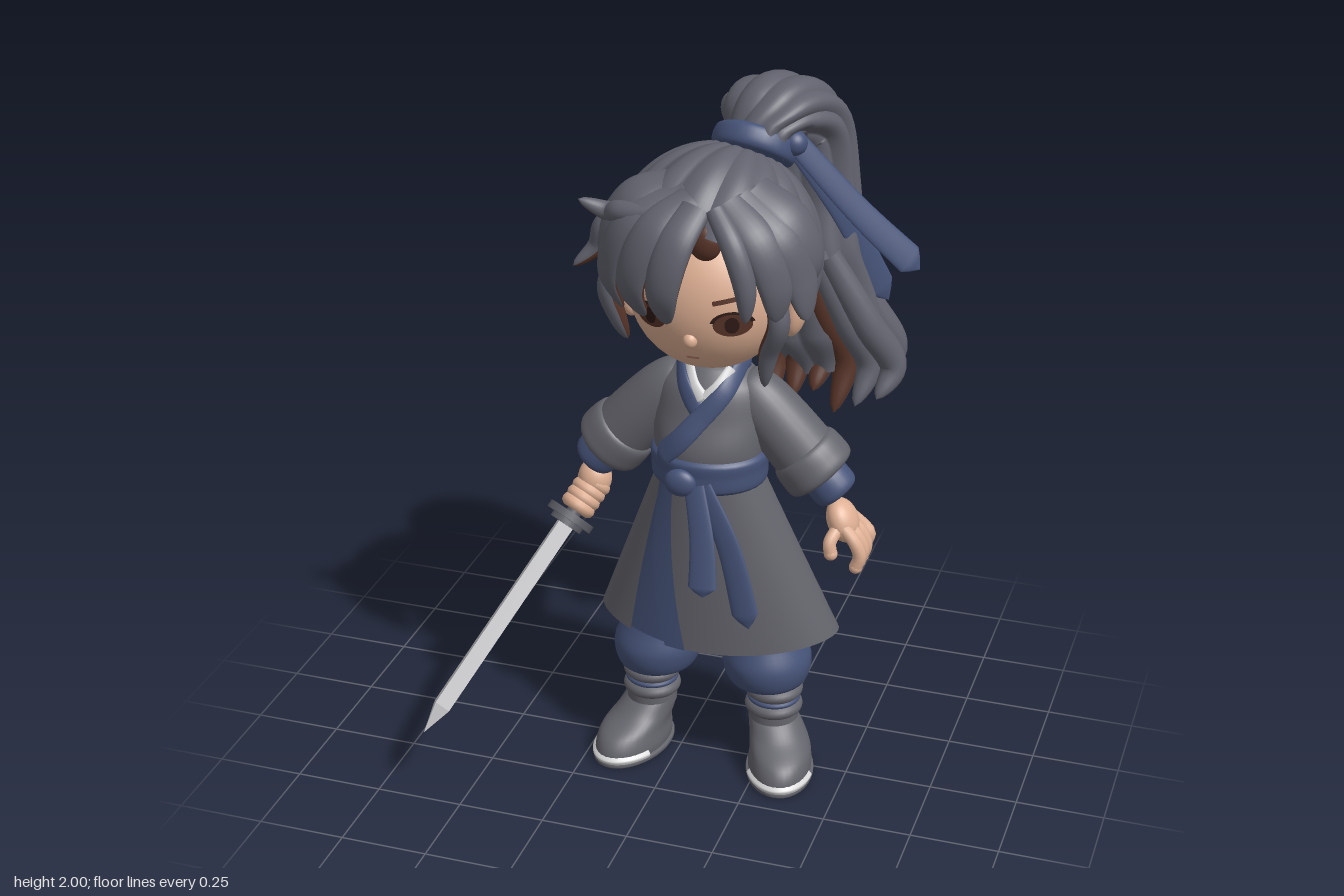
import * as THREE from 'three';
import { ParametricGeometry } from 'three/addons/geometries/ParametricGeometry.js';

const V = (x, y, z) => new THREE.Vector3(x, y, z);
const mix = THREE.MathUtils.lerp;
const paint = (name, color) => Object.assign(new THREE.MeshStandardMaterial({ color }), { name });
const MID = 0.09; // x of the body's middle plane

export function createModel() {
  const root = new THREE.Group();
  root.name = 'swordsman';
  const hair = paint('hair grey', 0x61626d), under = paint('hair underside brown', 0x573428);
  const skin = paint('skin', 0xdfb094), robe = paint('robe grey', 0x64646c), blue = paint('sash blue', 0x465378);
  const white = paint('white trim', 0xd6d6d6), steel = paint('light steel', 0xc6c6c9);
  const dark = paint('dark steel', 0x5a5b63), pupil = paint('dark brown', 0x2f1b17), lip = paint('lip', 0xb87e68);
  for (const open of [hair, robe, blue]) open.side = THREE.DoubleSide;

  const add = (name, geo, mat, parent = root) => {
    const m = new THREE.Mesh(geo, mat);
    m.name = name;
    parent.add(m);
    return m;
  };
  const ball = (name, p, s, mat, parent) => {
    const m = add(name, new THREE.SphereGeometry(1, 32, 20), mat, parent);
    m.position.set(...p);
    m.scale.set(...s);
    return m;
  };

  // Stack of elliptical rings [y, cx, cz, rx, rz], over an arc of turns
  function loft(name, rings, mat, parent = root, from = 0, to = 1) {
    const c = new THREE.CatmullRomCurve3(rings.map(r => V(r[1], r[0], r[2])));
    const r = new THREE.CatmullRomCurve3(rings.map(q => V(q[3], q[4], q[0])));
    add(name, new ParametricGeometry((u, v, o) => {
      const a = mix(from, to, u) * Math.PI * 2, p = c.getPoint(v), q = r.getPoint(v);
      o.set(p.x + q.x * Math.cos(a), p.y, p.z - q.y * Math.sin(a));
    }, 36, rings.length * 5), mat, parent);
  }

  // Turned part: profile of [radius, fraction] along the line from a to b
  function turned(name, profile, a, b, mat) {
    const dir = b.clone().sub(a), len = dir.length();
    const pts = new THREE.SplineCurve(profile.map(([r, t]) => new THREE.Vector2(r, t * len))).getPoints(profile.length * 5);
    pts.forEach(p => { p.x = Math.max(p.x, 0); });
    const m = add(name, new THREE.LatheGeometry(pts, 28), mat);
    m.position.copy(a);
    m.quaternion.setFromUnitVectors(V(0, 1, 0), dir.normalize());
  }

  // Flattened strand along a path: outer half in mats[0], inner half in mats[1]
  const lockTaper = v => Math.pow(Math.max(0, 1 - v), 0.6) * (0.7 + 1.2 * v);
  const bandTaper = v => (0.7 + 0.3 * v) * Math.min(1, (1 - v) / 0.08);
  const fromHead = p => p.clone().sub(V(MID, 1.5, -0.05));
  const backward = p => V(0, p.y - 1.5, p.z);
  const fromChest = p => V(p.x - MID, 0.03, p.z + 0.02);
  const forward = () => V(0, 0, 1);
  const diagonal = () => V(0.6, 0.35, 0.7);
  function strand(name, pts, w, t, out, mats, taper = lockTaper, ridge = 0) {
    const curve = new THREE.CatmullRomCurve3(pts.map(p => V(...p)));
    mats.forEach((mat, half) => add(name + (half ? 'Inner' : 'Outer'), new ParametricGeometry((u, v, o) => {
      const a = (u + half) * Math.PI, T = curve.getTangent(v), N = out(curve.getPoint(v, o));
      N.addScaledVector(T, -N.dot(T)).normalize();
      const B = N.clone().cross(T), k = taper(v) * (1 + ridge * (Math.abs(Math.sin(5 * a)) - 0.6));
      o.addScaledVector(B, w * k * Math.cos(a)).addScaledVector(N, t * k * Math.sin(a));
    }, ridge ? 50 : 10, ridge ? 48 : 22), mat));
  }
  const band = (name, pts, w, out, mat = blue) => strand(name, pts, w, 0.011, out, [mat, mat], bandTaper);

  // Head and face
  const HC = V(0.08, 1.47, 0), HR = V(0.225, 0.225, 0.195);
  ball('head', HC, HR, skin);
  ball('nape', [MID, 1.51, -0.06], [0.25, 0.2, 0.185], under);
  ball('partingShade', [0.125, 1.675, 0.195], [0.045, 0.05, 0.03], under);
  ball('nose', [HC.x, 1.385, 0.178], [0.02, 0.022, 0.02], skin);
  add('neck', new THREE.CylinderGeometry(0.055, 0.055, 0.16, 24), skin).position.set(MID, 1.25, -0.01);
  function onFace(name, geo, x, y, lift, mat) {
    geo.translate(x, y, 0);
    const p = geo.attributes.position;
    for (let i = 0; i < p.count; i++) {
      const dx = (p.getX(i) - HC.x) / HR.x, dy = (p.getY(i) - HC.y) / HR.y;
      p.setZ(i, HR.z * Math.sqrt(Math.max(0, 1 - dx * dx - dy * dy)) + lift);
    }
    geo.computeVertexNormals();
    add(name, geo, mat);
  }
  for (const s of [-1, 1]) {
    const x = HC.x + s * 0.113, y = 1.44;
    onFace('eye', new THREE.CircleGeometry(1, 28).scale(0.048, 0.034, 1), x, y, 0.004, under);
    onFace('pupil', new THREE.CircleGeometry(1, 24).scale(0.018, 0.024, 1), x, y, 0.006, pupil);
    onFace('lash', new THREE.RingGeometry(0.86, 1.06, 20, 1, 0.2, Math.PI - 0.4).scale(0.052, 0.038, 1), x, y, 0.007, pupil);
    onFace('eyebrow', new THREE.PlaneGeometry(0.1, 0.013, 8, 1).rotateZ(s * 0.2), x, 1.512, 0.005, under);
    ball('ear', [HC.x + s * 0.238, 1.425, -0.01], [0.03, 0.075, 0.045], skin).rotation.z = -s * 0.2;
  }
  onFace('mouth', new THREE.PlaneGeometry(0.035, 0.008, 6, 1), HC.x, 1.325, 0.004, lip);

  // Combed hair cap, lobes running from the tie to the hairline, clear of the face and left ear
  const capC = V(MID, 1.56, -0.02), capR = V(0.285, 0.3, 0.28);
  const axis = V(0.2, 0.88, -0.42).normalize(), e1 = V(0, 0, 1);
  e1.addScaledVector(axis, -e1.dot(axis)).normalize();
  const e2 = e1.clone().cross(axis);
  add('hairCap', new ParametricGeometry((u, v, o) => {
    const a = u * Math.PI * 2;
    const phi = v * (2 - 0.5 * Math.max(0, Math.cos(a)) ** 2 - 0.36 * Math.max(0, -Math.sin(a)) ** 2);
    const r = 1 + 0.045 * (Math.abs(Math.sin(8 * a)) - 0.6) * Math.sin(phi);
    o.copy(axis).multiplyScalar(Math.cos(phi)).addScaledVector(e1, Math.sin(phi) * Math.cos(a))
      .addScaledVector(e2, Math.sin(phi) * Math.sin(a)).multiplyScalar(r).multiply(capR).add(capC);
  }, 128, 28), hair);

  // Fringe locks: swept sideways, then down, over a shell just outside the cap
  function lock(from, to, w) {
    const path = [0, 1, 2, 3].map(i => {
      const t = i / 3, sweep = Math.sin(t * Math.PI / 2);
      const p = V(mix(from[0], to[0], sweep), mix(from[1], to[1], t), mix(from[2], to[2], t));
      const shell = p.clone().sub(capC).divide(capR).setLength(1.11).multiply(capR).add(capC);
      return p.lerp(shell, Math.sin(t * Math.PI)).toArray();
    });
    strand('fringeLock', path, w, 0.032, fromHead, [hair, under]);
  }
  for (const s of [-1, 1]) {
    [0.1, 0.18, 0.26, 0.25].forEach((reach, i) => lock(
      [0.125 + s * (0.025 + 0.025 * i), 1.765 + 0.01 * i, 0.19 - 0.035 * i],
      [0.135 + s * (reach + (s > 0 ? 0.015 - 0.012 * i : 0)), 1.465 + 0.015 * s + (i > 2 ? 0.04 : -0.01 * i), 0.24 - 0.055 * i],
      s > 0 && !i ? 0.038 : 0.06 + 0.004 * i));
    lock([0.075 + s * 0.2, 1.6, 0.13], [0.075 + s * 0.192, 1.29 - s * 0.045, 0.11], 0.036);
  }
  lock([-0.1, 1.72, 0.1], [-0.26, 1.54, 0.14], 0.04);
  lock([-0.02, 1.73, 0.19], [-0.235, 1.74, 0.16], 0.035);

  // Ponytail with loose ends, tie and ribbons
  strand('ponytail', [[0.15, 1.8, -0.14], [0.17, 1.895, -0.22], [0.2, 1.85, -0.325], [0.225, 1.65, -0.355],
    [0.25, 1.45, -0.33], [0.3, 1.27, -0.345], [0.33, 1.13, -0.35]], 0.19, 0.125, backward, [hair, hair],
  v => (0.55 + 0.34 * Math.sin(Math.min(1, v * 2.6) * Math.PI / 2)) * (1 - 0.35 * THREE.MathUtils.smoothstep(v, 0.85, 1)), 0.1);
  for (const row of [0, 1]) {
    for (let i = 0; i < 6; i++) {
      const f = (i + row * 0.4) / 5.4, z = row * 0.13;
      strand('ponytailEnd', [[0.14 + 0.2 * f, 1.5, z - 0.37], [0.15 + 0.3 * f, 1.3, z - 0.4], [0.15 + 0.37 * f, 1.16, z - 0.44],
        [0.16 + 0.33 * f, 1.02 + (i % 3) * 0.03, z * 1.4 - 0.43]], 0.05, 0.045, backward, [hair, row && i < 4 ? under : hair]);
    }
  }
  turned('hairTie', [[0.08, 0], [0.11, 0.15], [0.117, 0.5], [0.11, 0.85], [0.08, 1]], V(0.15, 1.795, -0.13), V(0.158, 1.86, -0.175), blue);
  ball('hairKnot', [0.265, 1.845, -0.15], [0.035, 0.035, 0.035], blue);
  band('hairRibbon', [[0.26, 1.85, -0.16], [0.43, 1.635, -0.235], [0.585, 1.46, -0.31]], 0.045, diagonal);
  band('hairRibbon', [[0.26, 1.84, -0.16], [0.38, 1.59, -0.29], [0.48, 1.32, -0.4]], 0.042, diagonal);

  // Upper robe, collar and sash
  loft('upperRobe', [[0.92, MID, 0.025, 0.14, 0.12], [1.03, MID, 0.03, 0.155, 0.13], [1.12, MID, 0.012, 0.16, 0.12],
    [1.2, MID, 0, 0.145, 0.107], [1.25, MID, -0.01, 0.09, 0.08], [1.27, MID, -0.01, 0.05, 0.05]], robe);
  loft('neckCollar', [[1.23, MID, -0.015, 0.1, 0.085], [1.26, MID, -0.015, 0.1, 0.09], [1.285, MID, -0.015, 0.082, 0.075],
    [1.26, MID, -0.01, 0.06, 0.06]], blue, root, -0.06, 0.56);
  for (const s of [-1, 1]) band('innerCollar', [[0.1 + s * 0.06, 1.265, 0.06], [0.1 + s * 0.035, 1.22, 0.1], [0.1, 1.18, 0.115]], 0.022, fromChest, white);
  band('underCollar', [[0, 1.265, 0.02], [0.035, 1.22, 0.095], [0.07, 1.17, 0.116], [0.11, 1.13, 0.124]], 0.028, fromChest);
  band('overCollar', [[0.18, 1.265, 0.02], [0.155, 1.21, 0.1], [0.09, 1.13, 0.137], [0.04, 1.07, 0.152], [-0.03, 1, 0.135]], 0.034, fromChest);
  loft('sash', [[0.91, 0.14], [0.925, 0.16], [0.97, 0.164], [1.005, 0.165], [1.02, 0.15]].map(([y, r]) => [y, MID, 0.025, r, r - 0.02]), blue);
  ball('sashKnot', [0.05, 0.955, 0.172], [0.045, 0.04, 0.025], blue);
  band('sashTail', [[0.09, 0.95, 0.17], [0.125, 0.8, 0.21], [0.138, 0.65, 0.245]], 0.042, forward);
  band('sashTail', [[0.11, 0.95, 0.165], [0.19, 0.78, 0.175], [0.255, 0.54, 0.19]], 0.04, forward);

  // Long skirt with a front slit, blue edge and blue lining
  const skirt = (name, from, to, grow, mat) => add(name, new ParametricGeometry((u, v, o) => {
    const a = THREE.MathUtils.degToRad(mix(from(v), to(v), u)), c = Math.cos(a), s = Math.sin(a);
    o.set(mix(MID, 0.1, v) + c * mix(0.148, 0.35, v) * grow, mix(0.94, 0.39 + 0.02 * s + 0.045 * c * c, v),
      mix(0.025, -0.05, v) + s * mix(0.125, 0.195, v) * grow);
  }, 64, 20), mat);
  const edge = v => mix(138, 106, v);
  skirt('skirt', v => mix(-222, -231, v), edge, 1, robe);
  skirt('skirtEdge', v => edge(v) - mix(20, 9, v), v => edge(v) + 1, 1.025, blue);
  skirt('skirtLining', () => 90, () => 145, 0.95, blue);

  // Arms, legs and boots, mirrored about the middle
  for (const s of [-1, 1]) {
    const a = V(MID + s * 0.1, 1.19, -0.005), b = V(MID + s * 0.31, 0.95, -0.015);
    turned('sleeve', [[0, -0.12], [0.05, -0.08], [0.077, 0.1], [0.088, 0.4], [0.092, 0.8], [0.09, 0.95]], a, b, robe);
    turned('sleeveCuff', [[0.07, 0.7], [0.098, 0.74], [0.105, 0.88], [0.1, 1], [0.06, 1.03], [0.03, 1]], a, b, robe);
    turned('wristWrap', [[0.06, 0.95], [0.066, 1.08], [0.064, 1.2], [0.045, 1.24], [0, 1.22]], a, b, blue);
    loft('trouserLeg', [[0.255, 0.17, 0.06], [0.28, 0.167, 0.11], [0.345, 0.163, 0.128], [0.43, 0.15, 0.105], [0.6, 0.09, 0.085], [0.8, 0.06, 0.07]]
      .map(([y, dx, r]) => [y, MID + s * dx, -0.012, r, r * 1.07]), blue);
    const boot = new THREE.Group();
    boot.name = 'boot';
    boot.position.set(MID + s * 0.185, 0, -0.015);
    boot.rotation.y = s * 0.25;
    root.add(boot);
    const k = s * 0.022;
    const slab = (name, rings, mat, ...arc) => loft(name, rings.map(([y, r]) => [y, k, 0.065, r, r ? r + 0.06 : 0]), mat, boot, ...arc);
    loft('bootFoot', [[0.012, k, 0.065, 0.09, 0.15], [0.035, k, 0.065, 0.092, 0.152], [0.075, k, 0.055, 0.088, 0.138],
      [0.115, k / 2, 0.02, 0.08, 0.1], [0.15, 0, 0, 0.072, 0.077]], robe, boot);
    slab('sole', [[0, 0], [0.001, 0.096], [0.014, 0.098], [0.018, 0.088]], robe);
    slab('toeRim', [[0.014, 0.098], [0.024, 0.101], [0.036, 0.09]], white, 0.56, 0.94);
    add('bootShaft', new THREE.CylinderGeometry(0.072, 0.072, 0.16, 28), robe, boot).position.y = 0.215;
    const ring = (name, y, r, tube, mat) => {
      const m = add(name, new THREE.TorusGeometry(r, tube, 12, 32), mat, boot);
      m.rotation.x = Math.PI / 2;
      m.position.y = y;
    };
    for (const y of [0.187, 0.24]) ring('bootFold', y, 0.064, 0.02, robe);
    ring('ankleWrap', 0.213, 0.068, 0.009, blue);
  }

  // Open left hand
  ball('leftPalm', [0.468, 0.825, 0.005], [0.042, 0.065, 0.058], skin).rotation.z = 0.4;
  const finger = (name, pts) => {
    const r = 0.019;
    add(name, new THREE.TubeGeometry(new THREE.CatmullRomCurve3(pts.map(p => V(...p))), 10, r, 10), skin);
    ball(name + 'Tip', pts[pts.length - 1], [r, r, r], skin);
  };
  for (let i = 0; i < 4; i++) {
    const z = 0.052 - i * 0.035, d = i === 3 ? 0.02 : 0;
    finger('leftFinger', [[0.48, 0.82, z * 0.8], [0.515, 0.785, z], [0.53, 0.745 + d, z], [0.52, 0.71 + d, z]]);
  }
  finger('leftThumb', [[0.465, 0.82, 0.04], [0.45, 0.785, 0.075], [0.455, 0.755, 0.08]]);

  // Sword: its y runs from guard to tip, its z is the upper flat
  const sword = new THREE.Group(), guard = V(-0.312, 0.735, 0.062), Y = V(-0.605, 0.215, 0.49).sub(guard);
  sword.name = 'sword';
  const len = Y.length();
  Y.normalize();
  const Z = V(0, 1, 0).addScaledVector(Y, -Y.y).normalize();
  sword.quaternion.setFromRotationMatrix(new THREE.Matrix4().makeBasis(Y.clone().cross(Z), Y, Z));
  sword.position.copy(guard);
  root.add(sword);
  const outline = [[0.037, 0], [0.037, len - 0.09], [0, len]].map(p => new THREE.Vector2(...p));
  const bladeHalf = (name, start, mat) => {
    const g = new THREE.LatheGeometry(outline, 2, start, Math.PI).scale(1, 1, 0.75).toNonIndexed();
    g.computeVertexNormals();
    add(name, g, mat, sword);
  };
  bladeHalf('bladeUpper', -Math.PI / 2, steel);
  bladeHalf('bladeLower', Math.PI / 2, dark);
  const rod = (name, r, h, y) => { add(name, new THREE.CylinderGeometry(r, r, h, 28), dark, sword).position.y = y; };
  rod('guard', 0.072, 0.022, 0);
  rod('guardCollar', 0.05, 0.03, 0.012);
  rod('hilt', 0.022, 0.24, -0.12);
  ball('pommel', [0, -0.24, 0], [0.03, 0.022, 0.03], dark, sword);

  // Right fist around the hilt
  for (let i = 0; i < 4; i++) {
    const f = add('rightFinger', new THREE.TorusGeometry(0.032, 0.02, 10, 24), skin, sword);
    f.rotation.x = Math.PI / 2;
    f.position.y = -0.04 - i * 0.026;
  }
  ball('rightPalm', [-0.262, 0.835, -0.01], [0.048, 0.058, 0.05], skin);
  return root;
}
